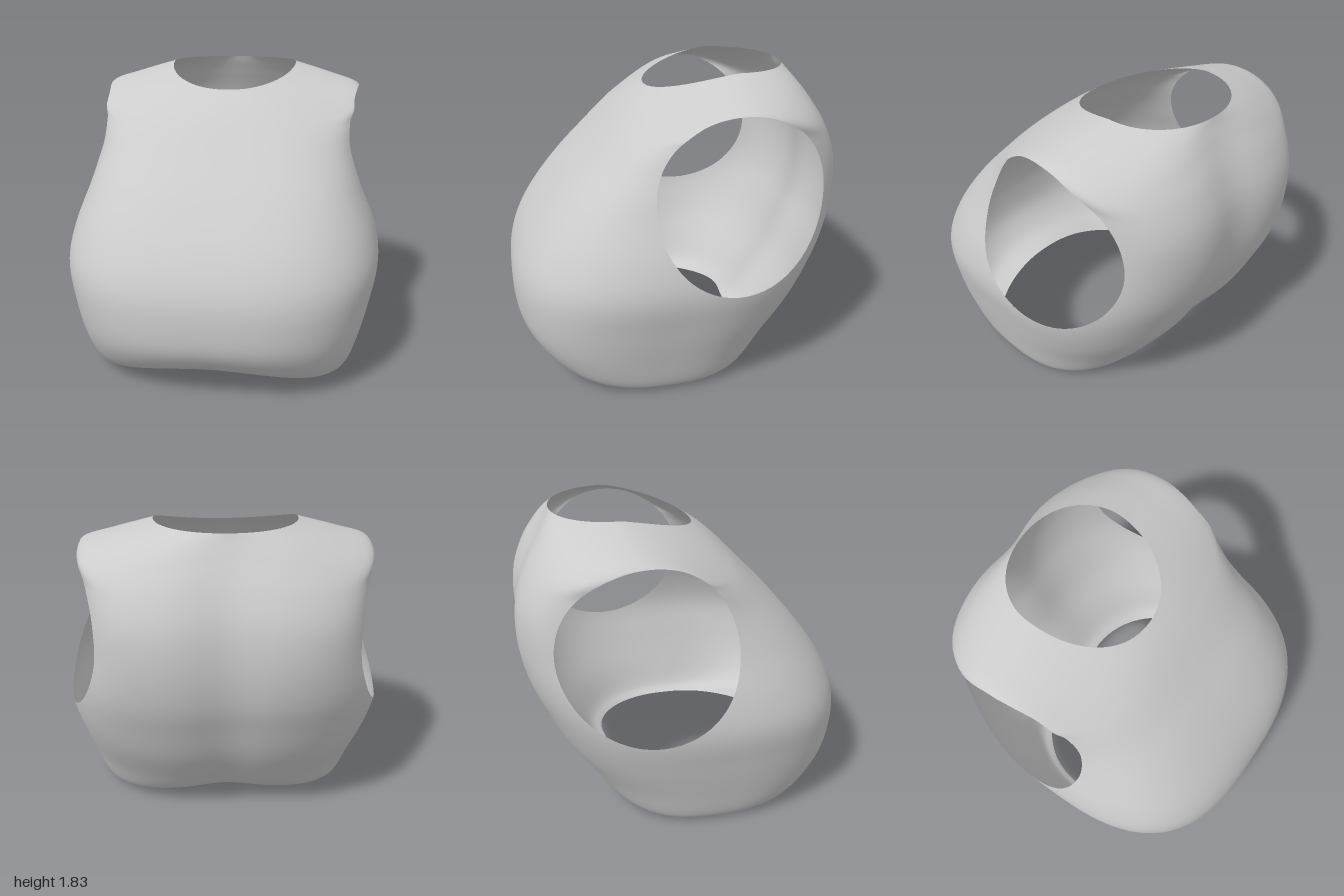
import * as THREE from 'three';
import { mergeVertices } from 'three/addons/utils/BufferGeometryUtils.js';

// Rings from hem to neck: front [z, y], side [x, y, z], back [z, y], squareness, corner drop
const RINGS = [
  [0.68, 0.135, 0.77, 0.0, 0.1, -0.495, 0.1, 2.5, 0],
  [0.85, 0.18, 0.83, 0.06, 0.14, -0.57, 0.15, 2.6, 0],
  [0.97, 0.32, 0.885, 0.25, 0.15, -0.67, 0.28, 2.7, 0],
  [1.0, 0.5, 0.94, 0.48, 0.1, -0.8, 0.48, 2.8, 0],
  [0.98, 0.69, 0.98, 0.7, 0.04, -0.9, 0.7, 2.8, 0],
  [0.88, 0.9, 0.95, 0.9, -0.05, -0.975, 0.9, 2.9, 0],
  [0.685, 1.15, 0.865, 1.15, -0.16, -1.01, 1.13, 3.2, 0.01],
  [0.475, 1.37, 0.82, 1.37, -0.26, -0.995, 1.36, 3.4, 0.03],
  [0.32, 1.53, 0.82, 1.57, -0.3, -0.925, 1.56, 3.4, 0.07],
  [0.22, 1.62, 0.83, 1.69, -0.32, -0.84, 1.7, 3.2, 0.1],
  [0.16, 1.665, 0.65, 1.755, -0.35, -0.785, 1.775, 2.6, 0.05],
  [0.11, 1.7, 0.41, 1.825, -0.38, -0.75, 1.82, 2.1, 0],
];
const ARM = { y: 1.185, z: -0.3, r: 0.505 };

const spline = (pick) => new THREE.CatmullRomCurve3(
  RINGS.map((r) => new THREE.Vector3(...pick(r))), false, 'catmullrom', 0.5);
const front = spline((r) => [r[0], r[1], r[7]]);
const side = spline((r) => [r[2], r[3], r[4]]);
const back = spline((r) => [r[5], r[6], r[8]]);

// One ring of rounded-square section, with hem and shoulders rising and falling around it
function makeRing(t, count) {
  const f = front.getPoint(t), s = side.getPoint(t), b = back.getPoint(t), n = f.z;
  const groove = 0.04 * Math.min(1, (1 - t) * 4);
  return Array.from({ length: count }, (_, i) => {
    const a = (i / count) * Math.PI * 2, c = Math.cos(a), d = Math.sin(a);
    const r = (Math.abs(c) ** n + Math.abs(d) ** n) ** (-1 / n);
    const u = c * r, v = d * r, end = v > 0 ? f : b;
    const x = s.x * u;
    // arched across the hem, sloping fore and aft at the shoulders
    const arch = Math.max(0, 1 - u * u) ** 1.8, slope = Math.abs(v) ** 1.3;
    const y = THREE.MathUtils.lerp(s.y, end.y, THREE.MathUtils.lerp(arch, slope, t))
      - b.z * 2 * (u * v) ** 2;
    // shallow hollow along the spine
    const spine = v < 0 ? groove * Math.exp(-((x / 0.2) ** 2)) * -v : 0;
    return new THREE.Vector3(x, y, s.z + (end.x - s.z) * Math.abs(v) + spine);
  });
}

// Positive outside the arm holes
const outsideArm = (p) => Math.abs(p.x) < 0.45 ? 1
  : Math.hypot(p.y - ARM.y, p.z - ARM.z) - ARM.r;

// Trim one polygon along the arm-hole rim
function trim(poly) {
  const kept = [];
  poly.forEach((p, i) => {
    const q = poly[(i + 1) % poly.length];
    const fp = outsideArm(p), fq = outsideArm(q);
    if (fp >= 0) kept.push(p);
    if (fp * fq < 0) kept.push(p.clone().lerp(q, fp / (fp - fq)));
  });
  return kept;
}

function makeShell(rows, count) {
  const rings = Array.from({ length: rows + 1 }, (_, j) => makeRing(j / rows, count));
  const positions = [];
  for (let j = 0; j < rows; j++) {
    for (let i = 0; i < count; i++) {
      const k = (i + 1) % count;
      const a = rings[j][i], b = rings[j + 1][i], c = rings[j + 1][k], d = rings[j][k];
      for (const tri of [[a, b, c], [a, c, d]]) {
        const poly = trim(tri);
        for (let m = 1; m + 1 < poly.length; m++) {
          for (const p of [poly[0], poly[m], poly[m + 1]]) positions.push(p.x, p.y, p.z);
        }
      }
    }
  }
  const raw = new THREE.BufferGeometry();
  raw.setAttribute('position', new THREE.Float32BufferAttribute(positions, 3));
  const geometry = mergeVertices(raw, 1e-4);
  geometry.computeVertexNormals();
  return geometry;
}

export function createModel() {
  const group = new THREE.Group();
  group.name = 'sleevelessTop';
  const material = new THREE.MeshStandardMaterial({ color: 0xcccccc, side: THREE.DoubleSide });
  // Thin open garment with hem, neck and two arm openings
  const shell = new THREE.Mesh(makeShell(66, 128), material);
  shell.name = 'garmentShell';
  group.add(shell);
  return group;
}
